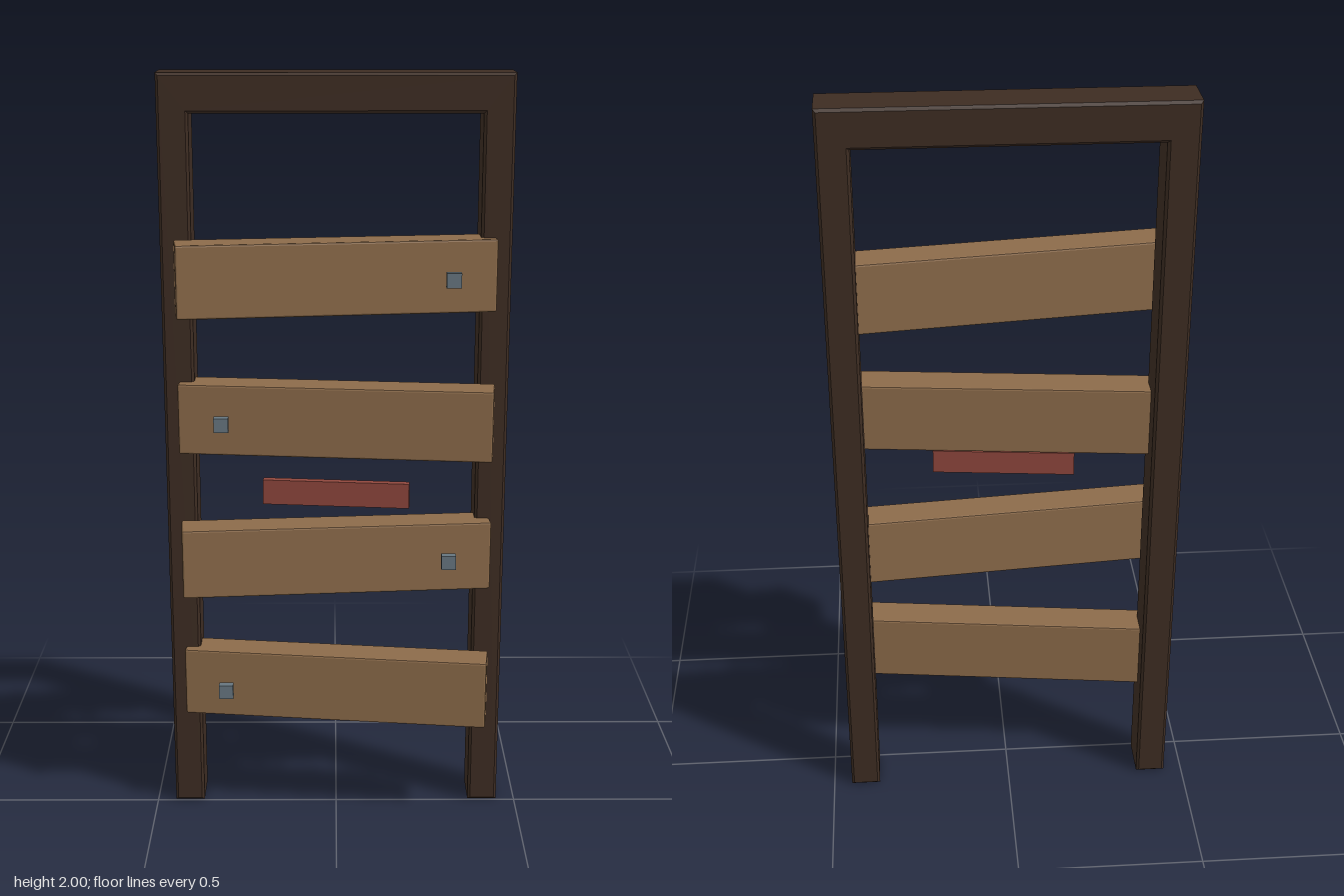
import * as THREE from 'three';
import { RoundedBoxGeometry } from 'three/addons/geometries/RoundedBoxGeometry.js';

const material = (name, color) => {
  const m = new THREE.MeshStandardMaterial({ color });
  m.name = name;
  return m;
};

// Box with narrow, flat chamfers
function chamferedBox(w, h, d, chamfer) {
  const g = new RoundedBoxGeometry(w, h, d, 1, chamfer);
  g.computeVertexNormals();
  return g;
}

export function createModel() {
  const group = new THREE.Group();
  group.name = 'boardedDoorway';
  const darkWood = material('dark wood', 0x3d2c22);
  const plankWood = material('plank wood', 0x8c6b4a);
  const redPaint = material('red paint', 0x8f473d);
  const steel = material('steel', 0x66757f);

  const add = (name, geometry, mat, x, y, z, turn = 0) => {
    const mesh = new THREE.Mesh(geometry, mat);
    mesh.name = name;
    mesh.position.set(x, y, z);
    mesh.rotation.y = THREE.MathUtils.degToRad(turn);
    group.add(mesh);
  };

  // Door frame: two posts and a lintel in one outline
  const outer = 0.45, inner = 0.37, bevel = 0.007, depth = 0.124;
  const outline = new THREE.Shape([
    [-outer, 0], [-inner, 0], [-inner, 1.9], [inner, 1.9],
    [inner, 0], [outer, 0], [outer, 2], [-outer, 2],
  ].map(([x, y]) => new THREE.Vector2(x, y)));
  const frame = new THREE.ExtrudeGeometry(outline, {
    depth: depth - 2 * bevel, bevelEnabled: true, bevelSegments: 1,
    bevelSize: bevel, bevelThickness: bevel, bevelOffset: -bevel,
  });
  add('doorFrame', frame, darkWood, 0, 0, -depth + bevel);

  // Planks nailed on askew, each with one bolt: height, turn in degrees, bolt side
  const plank = chamferedBox(0.82, 0.188, 0.094, 0.005);
  const bolt = new THREE.BoxGeometry(0.038, 0.038, 0.023);
  [
    [0.372, -7, -1],
    [0.742, 5, 1],
    [1.118, -6, -1],
    [1.495, 7, 1],
  ].forEach(([y, turn, side], i) => {
    add(`plank${i + 1}`, plank, plankWood, 0, y, 0.026, turn);
    add(`bolt${i + 1}`, bolt, steel, side * 0.297, y, 0.082);
  });

  // Small red strip between the middle planks
  add('redStrip', new THREE.BoxGeometry(0.382, 0.066, 0.022), redPaint, 0, 0.935, 0.087, -6);

  return group;
}
